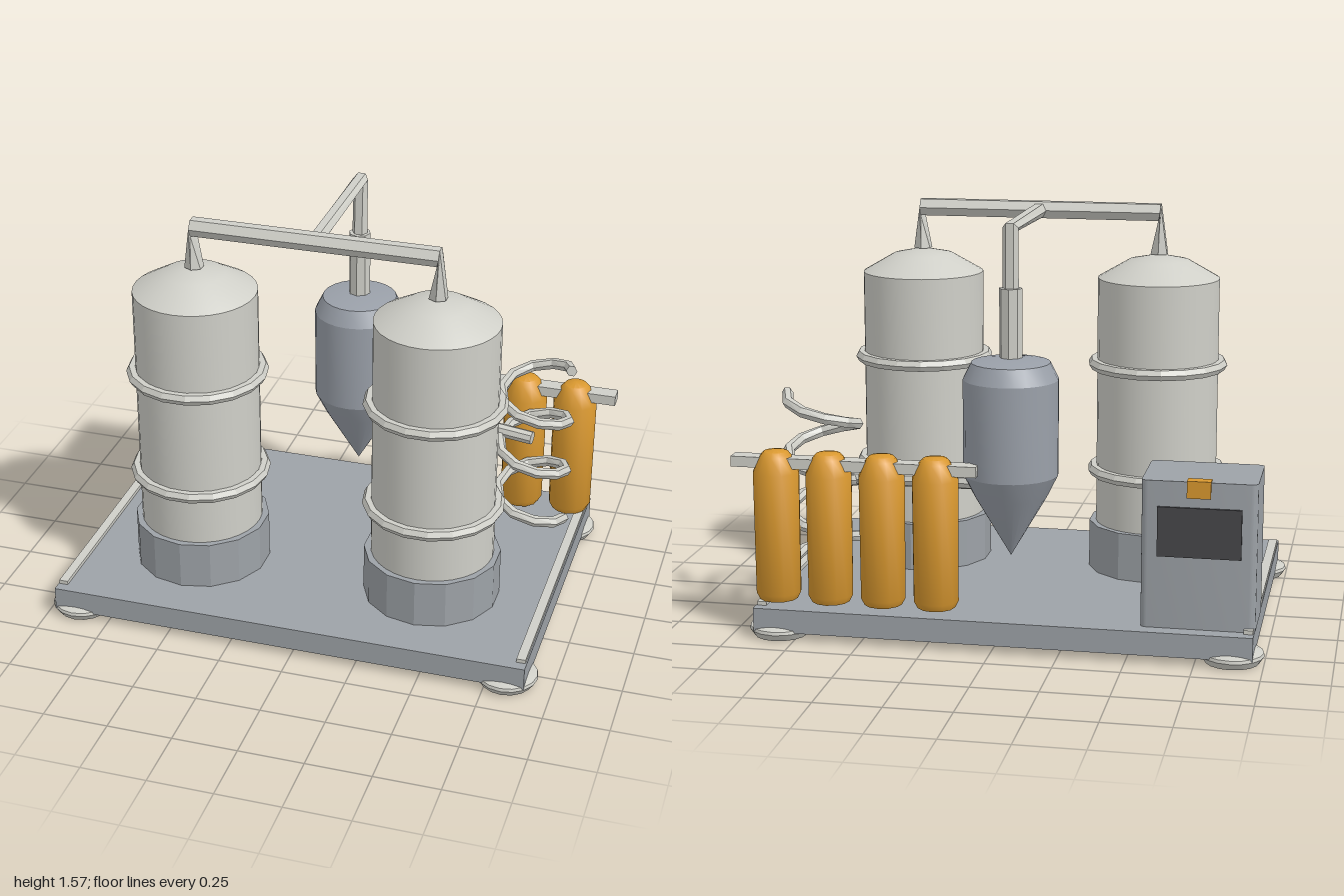
import * as THREE from 'three';
import { toCreasedNormals } from 'three/addons/utils/BufferGeometryUtils.js';

const V = (x, y, z) => new THREE.Vector3(x, y, z);

// Revolved shape with crisp edges; profile runs from bottom to top
function lathe(profile, sides, crease = 0.45) {
  const pts = profile.map(([r, y]) => new THREE.Vector2(r, y));
  return toCreasedNormals(new THREE.LatheGeometry(pts, sides), crease);
}

// Faceted, capped pipe through rings of { at, along, side }
function pipe(rings, radius, sides = 6) {
  const loops = rings.map(({ at, along, side }) => {
    const t = along.clone().normalize();
    const u = side.clone().normalize();
    const v = t.clone().cross(u);
    return Array.from({ length: sides }, (_, j) => {
      const a = (j / sides) * Math.PI * 2;
      return at.clone().addScaledVector(u, radius * Math.cos(a)).addScaledVector(v, radius * Math.sin(a));
    });
  });
  const tris = [];
  const last = loops.length - 1;
  for (let j = 0; j < sides; j++) {
    const k = (j + 1) % sides;
    for (let i = 0; i < last; i++) {
      const [a, b, c, d] = [loops[i][j], loops[i][k], loops[i + 1][k], loops[i + 1][j]];
      tris.push(a, b, c, a, c, d);
    }
    tris.push(rings[0].at, loops[0][k], loops[0][j]);
    tris.push(rings[last].at, loops[last][j], loops[last][k]);
  }
  const geo = new THREE.BufferGeometry().setFromPoints(tris);
  geo.computeVertexNormals();
  return geo;
}

export function createModel() {
  const model = new THREE.Group();
  model.name = 'processingSkid';

  const mat = (name, color) => {
    const m = new THREE.MeshStandardMaterial({ color });
    m.name = name;
    return m;
  };
  const steel = mat('brushed steel', 0xcfcfc8);
  const grey = mat('painted grey', 0x9da2a7);
  const vesselGrey = mat('blue grey', 0x9aa0a9);
  const orange = mat('cylinder orange', 0xd9982f);
  const dark = mat('screen dark', 0x47474a);

  const add = (name, geo, material, x = 0, y = 0, z = 0) => {
    const mesh = new THREE.Mesh(geo, material);
    mesh.name = name;
    mesh.position.set(x, y, z);
    model.add(mesh);
    return mesh;
  };
  // Box given by its lower and upper corners
  const box = (name, material, [x0, y0, z0], [x1, y1, z1]) =>
    add(name, new THREE.BoxGeometry(x1 - x0, y1 - y0, z1 - z0), material,
      (x0 + x1) / 2, (y0 + y1) / 2, (z0 + z1) / 2);

  const midX = -0.03;

  // Platform with side rails and round feet
  box('platform', grey, [-0.963, 0.033, -0.64], [0.905, 0.123, 0.64]);
  box('rightRail', steel, [-0.96, 0.123, -0.6], [-0.925, 0.138, 0.6]);
  box('leftRail', steel, [0.865, 0.123, -0.6], [0.9, 0.138, 0.6]);
  const footGeo = lathe([[0, 0.003], [0.1, 0.003], [0.118, 0.03], [0.115, 0.042], [0.075, 0.056], [0, 0.06]], 16);
  for (const sx of [-1, 1]) for (const sz of [-1, 1]) {
    add('foot', footGeo, steel, midX + sx * 0.853, 0, sz * 0.553);
  }

  // Twin tanks with faceted plinths and hoops
  const tankZ = 0.212;
  const tankGeo = lathe([[0.237, 0.3], [0.237, 1.283], [0.118, 1.352], [0, 1.377]], 32);
  const plinthGeo = new THREE.CylinderGeometry(0.264, 0.264, 0.187, 14).toNonIndexed();
  plinthGeo.computeVertexNormals();
  const hoopGeo = new THREE.TorusGeometry(0.25, 0.023, 6, 18).rotateX(Math.PI / 2).toNonIndexed();
  hoopGeo.computeVertexNormals();
  for (const sx of [-1, 1]) {
    const x = midX + sx * 0.47;
    add('tank', tankGeo, steel, x, 0, tankZ);
    add('tankPlinth', plinthGeo, grey, x, 0.2165, tankZ);
    for (const y of [0.52, 0.945]) add('tankHoop', hoopGeo, steel, x, y, tankZ);
  }

  // Overhead pipe joining the tanks
  const up = V(0, 1, 0), down = V(0, -1, 0), right = V(1, 0, 0), zSide = V(0, 0, 1);
  add('overheadPipe', pipe([
    { at: V(midX - 0.47, 1.375, tankZ), along: up, side: zSide },
    { at: V(midX - 0.475, 1.537, tankZ), along: right, side: zSide },
    { at: V(midX + 0.475, 1.537, tankZ), along: right, side: zSide },
    { at: V(midX + 0.47, 1.375, tankZ), along: down, side: zSide },
  ], 0.037), steel);

  // Branch pipe running back and down into the cone vessel
  const vesselZ = -0.384;
  add('branchPipe', pipe([
    { at: V(midX, 1.535, tankZ), along: V(0, 0, -1), side: right },
    { at: V(midX, 1.545, -0.388), along: V(0, -1, -1), side: right },
    { at: V(midX, 1.3, vesselZ), along: down, side: right },
  ], 0.03), steel);
  add('vesselNeck', pipe([
    { at: V(midX, 1.05, vesselZ), along: up, side: right },
    { at: V(midX, 1.323, vesselZ), along: up, side: right },
  ], 0.043, 8), steel);
  add('coneVessel', lathe([
    [0, 0.308], [0.136, 0.54], [0.178, 0.625], [0.178, 0.985], [0.147, 1.048], [0, 1.072],
  ], 24), vesselGrey, midX, 0, vesselZ);

  // Cooling coil and its feed pipe
  const coil = V(0.716, 0.215, -0.303), R = 0.137, pitch = 0.222, turns = 3, perTurn = 10;
  const coilRings = Array.from({ length: turns * perTurn + 1 }, (_, i) => {
    const a = (i / perTurn) * Math.PI * 2;
    const c = Math.cos(a), s = Math.sin(a);
    return {
      at: V(coil.x + R * c, coil.y + (pitch * i) / perTurn, coil.z + R * s),
      along: V(-R * s, pitch / (Math.PI * 2), R * c),
      side: V(c, 0, s),
    };
  });
  add('coolingCoil', pipe(coilRings, 0.022), steel);
  const feedA = V(0.09, 0.585, -0.392), feedB = V(0.71, 0.558, -0.307);
  const feedDir = feedB.clone().sub(feedA);
  const feedSide = feedDir.clone().cross(up);
  add('coilFeedPipe', pipe([feedA, feedB].map((at) => ({ at, along: feedDir, side: feedSide })), 0.027, 8), steel);

  // Row of gas cylinders held by a bar
  const gasGeo = lathe([
    [0, 0.138], [0.072, 0.138], [0.086, 0.165], [0.088, 0.63], [0.06, 0.69], [0.045, 0.707], [0, 0.715],
  ], 12, 0.7);
  for (let i = 0; i < 4; i++) add('gasCylinder', gasGeo, orange, 0.225 + i * 0.203, 0, -0.534);
  box('cylinderBar', steel, [0.065, 0.647, -0.566], [1, 0.687, -0.502]);

  // Control cabinet with rear screen and tag
  const x0 = -0.965, x1 = -0.545, z0 = -0.58, z1 = -0.28, c = 0.025;
  const plan = new THREE.Shape();
  plan.moveTo(x0 + c, -z1);
  plan.lineTo(x1 - c, -z1).quadraticCurveTo(x1, -z1, x1, -z1 + c);
  plan.lineTo(x1, -z0 - c).quadraticCurveTo(x1, -z0, x1 - c, -z0);
  plan.lineTo(x0 + c, -z0).quadraticCurveTo(x0, -z0, x0, -z0 - c);
  plan.lineTo(x0, -z1 + c).quadraticCurveTo(x0, -z1, x0 + c, -z1);
  const cabinetGeo = new THREE.ExtrudeGeometry(plan, { depth: 0.552, bevelEnabled: false, curveSegments: 4 });
  add('cabinet', toCreasedNormals(cabinetGeo.rotateX(-Math.PI / 2), 0.6), grey, 0, 0.123, 0);
  box('cabinetScreen', dark, [-0.91, 0.395, -0.589], [-0.605, 0.58, -0.58]);
  box('cabinetTag', orange, [-0.797, 0.615, -0.586], [-0.71, 0.679, -0.54]);

  return model;
}
